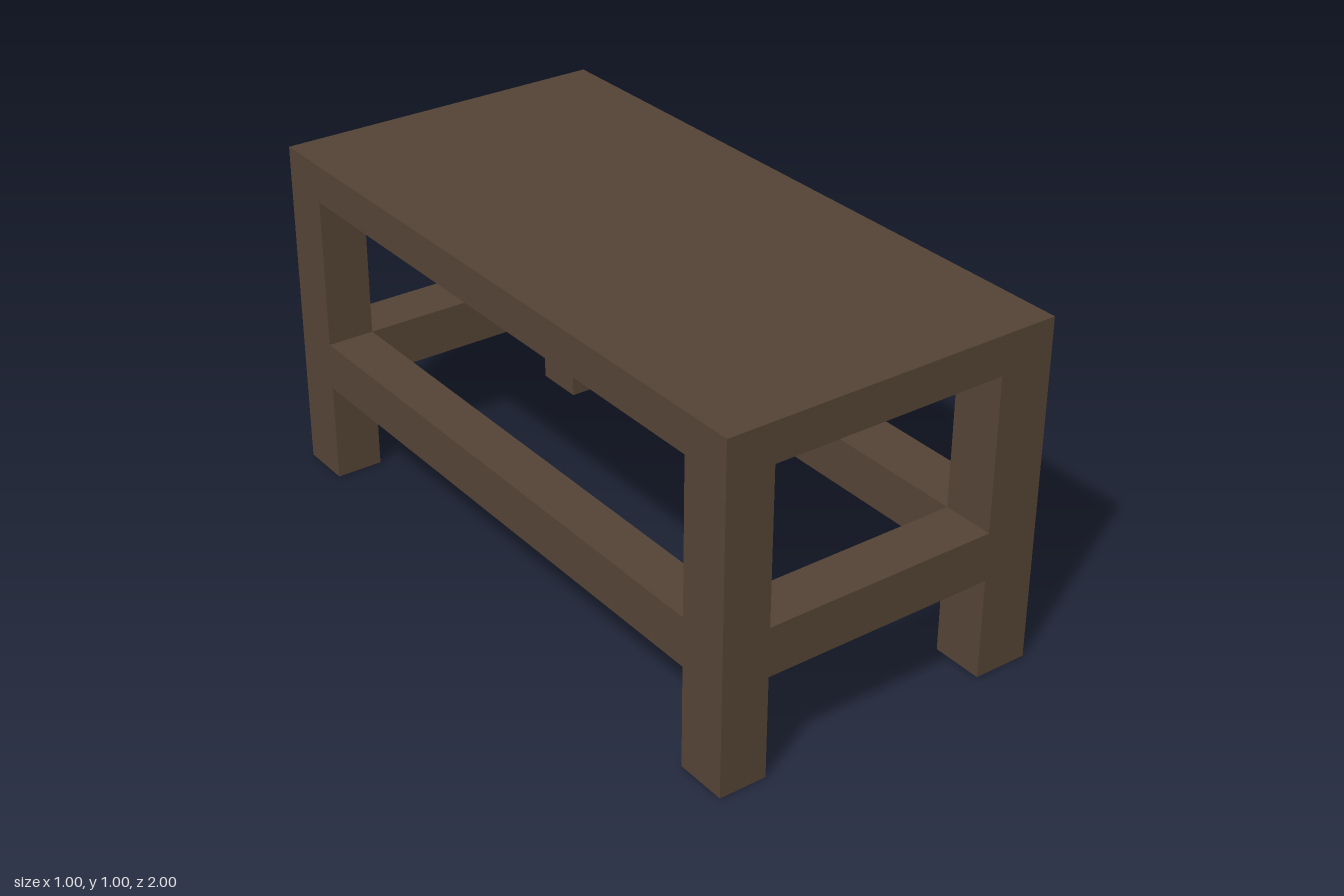
import * as THREE from 'three';

export function createModel() {
  const model = new THREE.Group();
  model.name = 'bench';
  const wood = new THREE.MeshStandardMaterial({ color: 0x544335 });
  wood.name = 'dark wood';

  // Box given by its extents along each axis
  const block = (name, [x0, x1], [y0, y1], [z0, z1]) => {
    const geometry = new THREE.BoxGeometry(x1 - x0, y1 - y0, z1 - z0);
    const mesh = new THREE.Mesh(geometry, wood);
    mesh.position.set((x0 + x1) / 2, (y0 + y1) / 2, (z0 + z1) / 2);
    mesh.name = name;
    model.add(mesh);
  };

  const sidesX = { Right: [-0.5, -0.36], Left: [0.338, 0.5] };
  const endsZ = { front: [0.846, 1], back: [-1, -0.843] };
  const railY = [0.298, 0.44];
  const topY = [0.887, 1];

  // Solid top
  block('top', [-0.5, 0.5], topY, [-1, 1]);

  // Legs run in two pieces, below and above the rail frame
  for (const [end, z] of Object.entries(endsZ)) {
    for (const [side, x] of Object.entries(sidesX)) {
      block(`${end}${side}LowerLeg`, x, [0, railY[0]], z);
      block(`${end}${side}UpperLeg`, x, [railY[1], topY[0]], z);
    }
  }

  // Rail frame: long side rails and cross rails between them
  for (const [side, x] of Object.entries(sidesX)) block(`side${side}Rail`, x, railY, [-1, 1]);
  for (const [end, z] of Object.entries(endsZ)) block(`${end}Rail`, [-0.36, 0.338], railY, z);

  return model;
}
